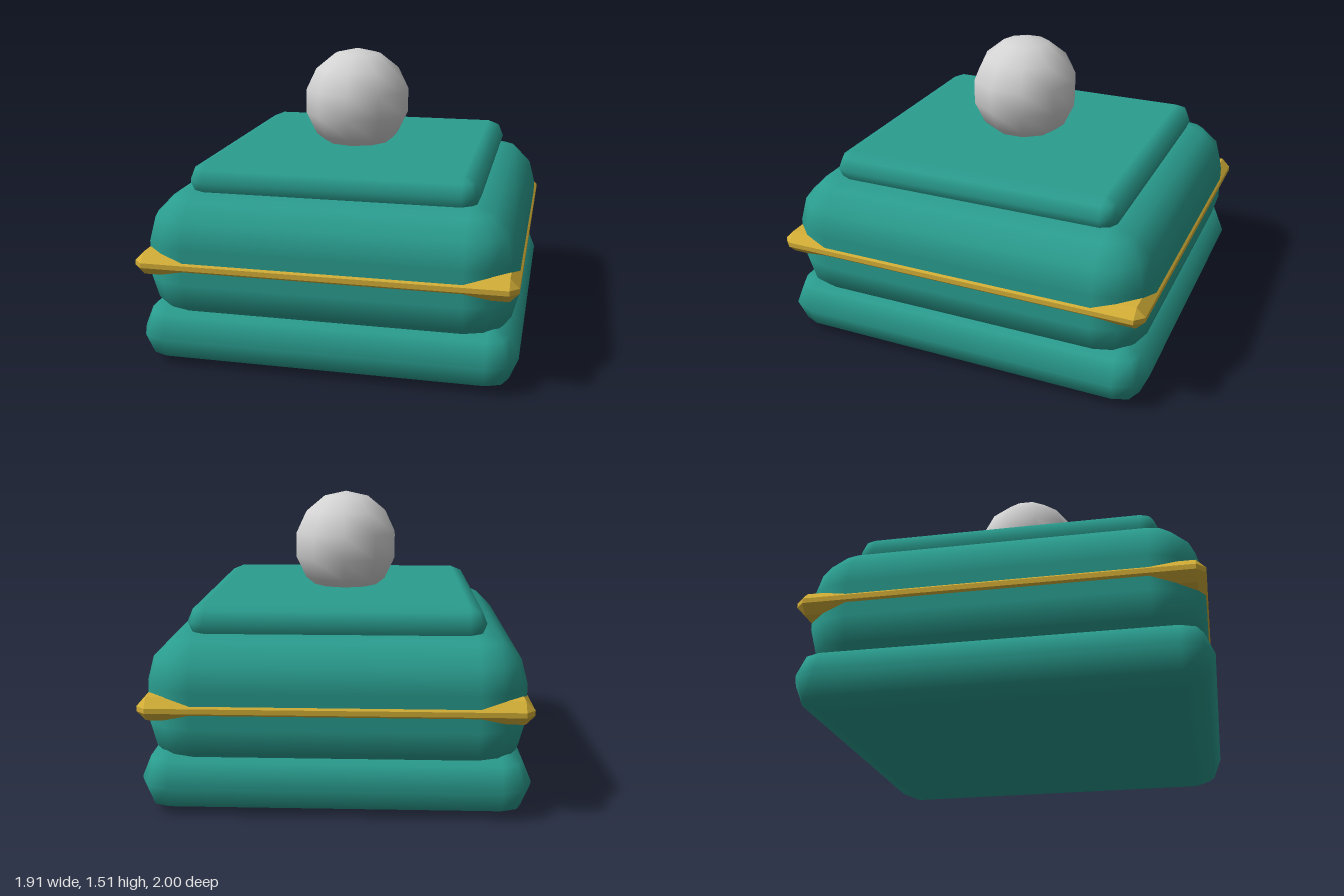
import * as THREE from 'three';

const teal = new THREE.MeshStandardMaterial({ name: 'teal', color: 0x2a9d8f });
const gold = new THREE.MeshStandardMaterial({ name: 'gold', color: 0xd4af37 });
const silver = new THREE.MeshStandardMaterial({ name: 'silver', color: 0xd3d3d3 });

// Box with rounded edges: a sphere of n segments per quarter turn, pulled apart into eight corners
function roundedBox(w, h, d, r, n) {
  const position = [], normal = [], index = [];
  const rows = 2 * (n + 1), cols = 4 * (n + 1);
  const inner = [w / 2 - r, h / 2 - r, d / 2 - r];
  for (let i = 0; i < rows; i++) {
    const lower = i > n;
    const theta = (i - (lower ? 1 : 0)) / n * Math.PI / 2;
    for (let j = 0; j < cols; j++) {
      const quarter = Math.floor(j / (n + 1));
      const phi = (j - quarter) / n * Math.PI / 2;
      const dir = [Math.sin(theta) * Math.cos(phi), Math.cos(theta), Math.sin(theta) * Math.sin(phi)];
      const sign = [quarter === 0 || quarter === 3 ? 1 : -1, lower ? -1 : 1, quarter < 2 ? 1 : -1];
      for (let k = 0; k < 3; k++) position.push(sign[k] * inner[k] + dir[k] * r);
      normal.push(...dir);
      if (i < rows - 1) {
        const next = (j + 1) % cols;
        const a = i * cols + j, b = a + cols, c = (i + 1) * cols + next, e = i * cols + next;
        index.push(a, e, c, a, c, b);
      }
    }
  }
  // Flat top and bottom faces
  const s = n + 1, last = (rows - 1) * cols;
  index.push(0, 2 * s, s, 0, 3 * s, 2 * s);
  index.push(last, last + s, last + 2 * s, last, last + 2 * s, last + 3 * s);
  const geometry = new THREE.BufferGeometry();
  geometry.setAttribute('position', new THREE.Float32BufferAttribute(position, 3));
  geometry.setAttribute('normal', new THREE.Float32BufferAttribute(normal, 3));
  geometry.setIndex(index);
  return geometry;
}

export function createModel() {
  const group = new THREE.Group();
  const add = (name, geometry, material, x, y) => {
    const mesh = new THREE.Mesh(geometry, material);
    mesh.name = name;
    mesh.position.set(x, y, 0);
    group.add(mesh);
    return mesh;
  };

  // Stacked cushioned tiers
  add('base', roundedBox(1.91, 0.31, 2, 0.15, 2), teal, 0, 0.155);
  add('body', roundedBox(1.88, 0.68, 1.96, 0.25, 3), teal, 0, 0.53);
  add('lid', roundedBox(1.48, 0.18, 1.56, 0.09, 2), teal, 0, 0.91);

  // Chamfered band that shows mostly at the corners of the body
  const band = roundedBox(1.9, 0.115, 1.98, 0.045, 1).toNonIndexed();
  band.computeVertexNormals();
  add('trimBand', band, gold, 0, 0.533);

  // Round knob, slightly off centre
  const knob = add('knob', new THREE.SphereGeometry(0.29, 10, 7), silver, -0.02, 1.22);
  knob.rotation.y = Math.PI / 2;

  return group;
}
